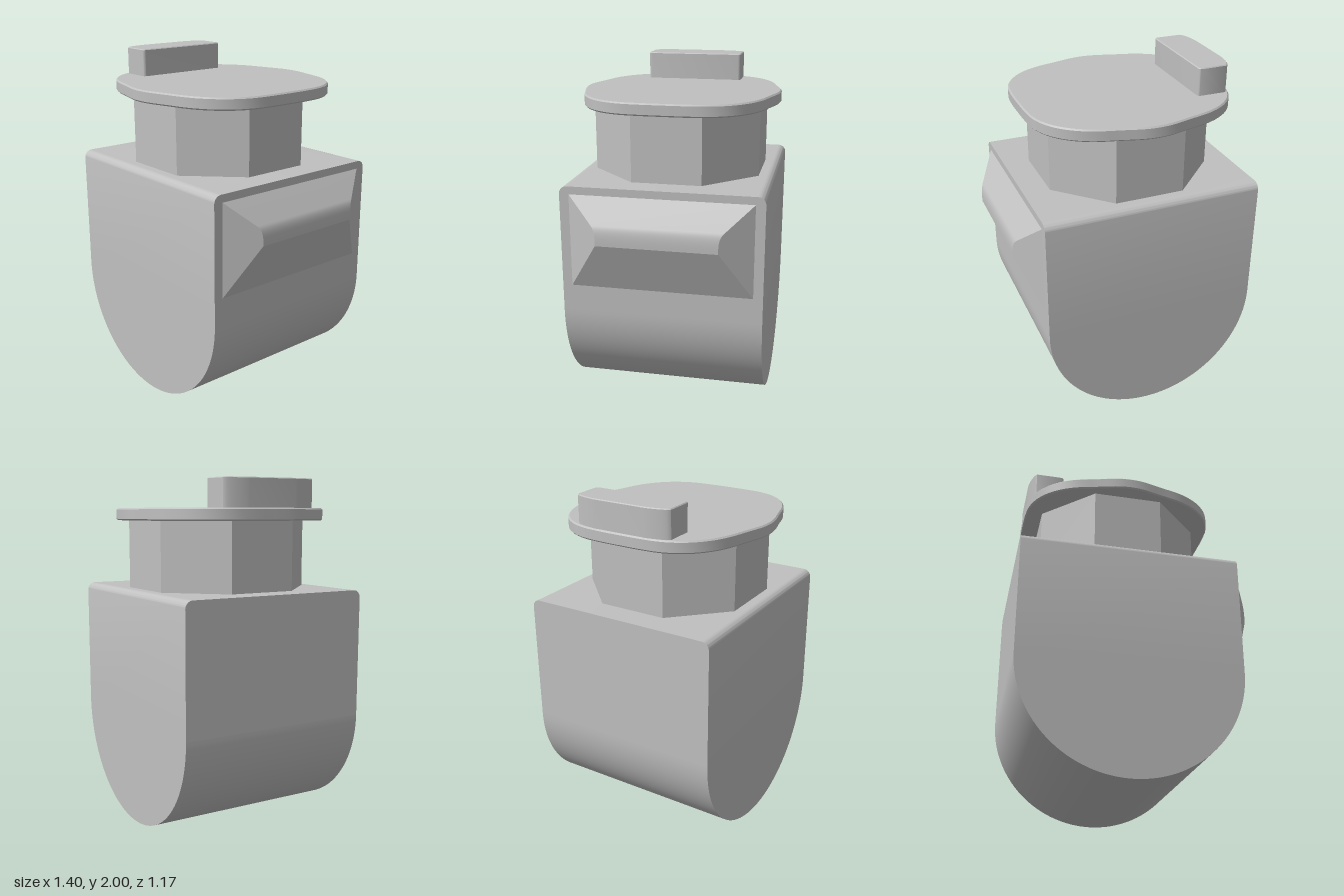
import * as THREE from 'three';
import { toCreasedNormals } from 'three/addons/utils/BufferGeometryUtils.js';

const CX = -0.0625; // axis of body, neck and lid

export function createModel() {
  const group = new THREE.Group();
  const grey = new THREE.MeshStandardMaterial({ color: 0xc0c0c0 });
  grey.name = 'plain grey';

  const add = (name, geometry, crease = 0.35) => {
    const mesh = new THREE.Mesh(toCreasedNormals(geometry, crease), grey);
    mesh.name = name;
    group.add(mesh);
    return mesh;
  };
  const extrude = (shape, depth, curveSegments = 16) =>
    new THREE.ExtrudeGeometry(shape, { depth, curveSegments, bevelEnabled: false });
  // Horizontal plate from a plan drawn as (x, z), with small bevels
  const plate = (plan, y0, y1, bevel) =>
    new THREE.ExtrudeGeometry(plan, {
      depth: y1 - y0 - 2 * bevel, curveSegments: 14, bevelSize: bevel,
      bevelThickness: bevel, bevelOffset: -bevel, bevelSegments: 1,
    }).rotateX(-Math.PI / 2).translate(0, y0 + bevel, 0);

  // Half-round lower body
  const R = 0.6375, D = 0.575, TOP = 1.375;
  const half = new THREE.Shape();
  half.moveTo(-R, R);
  half.absarc(0, R, R, Math.PI, 2 * Math.PI, false);
  add('lowerBody', extrude(half, 2 * D, 48).translate(CX, 0, -D));

  // Upper body with rounded front and back top edges
  const r = 0.045;
  const upper = new THREE.Shape();
  upper.moveTo(-D, R);
  upper.lineTo(D, R);
  upper.lineTo(D, TOP - r);
  upper.absarc(D - r, TOP - r, r, 0, Math.PI / 2, false);
  upper.absarc(-D + r, TOP - r, r, Math.PI / 2, Math.PI, false);
  upper.closePath();
  add('upperBody', extrude(upper, 2 * R, 8).rotateY(Math.PI / 2).translate(CX - R, 0, 0));

  // Side wedge: extruded profile whose ends taper in with distance from the body
  const profile = new THREE.Shape();
  profile.moveTo(0.575, 0.79);
  profile.lineTo(0.695, 1.08);
  profile.bezierCurveTo(0.696, 1.13, 0.694, 1.172, 0.675, 1.195);
  profile.lineTo(0.575, 1.33);
  profile.closePath();
  const wedge = extrude(profile, 1, 10);
  const p = wedge.attributes.position;
  for (let i = 0; i < p.count; i++) {
    const side = p.getZ(i) > 0.5 ? 1 : -1;
    p.setZ(i, side * (0.52 - (p.getX(i) - 0.575) * 1.5));
  }
  add('sideWedge', wedge);

  // Octagonal neck
  add('neck', new THREE.CylinderGeometry(0.525, 0.525, 0.4, 8, 1, false, Math.PI / 8)
    .translate(CX, 1.572, 0), 0.2);

  // Lid: softly squared outline, mirrored from one quarter
  const quarter = new THREE.CurvePath();
  const v = (x, y) => new THREE.Vector2(x, y);
  quarter.add(new THREE.CubicBezierCurve(v(0.588, 0), v(0.588, 0.06), v(0.588, 0.11), v(0.584, 0.16)));
  quarter.add(new THREE.CubicBezierCurve(v(0.584, 0.16), v(0.58, 0.36), v(0.44, 0.488), v(0.25, 0.53)));
  quarter.add(new THREE.CubicBezierCurve(v(0.25, 0.53), v(0.14, 0.556), v(0.09, 0.583), v(0, 0.583)));
  const q = quarter.getPoints(12);
  const back = [...q].reverse().slice(1);
  const outline = [
    ...q,
    ...back.map((a) => v(-a.x, a.y)),
    ...q.slice(1).map((a) => v(-a.x, -a.y)),
    ...back.slice(0, -1).map((a) => v(a.x, -a.y)),
  ];
  add('lid', plate(new THREE.Shape(outline), 1.77, 1.84, 0.008).translate(CX, 0, 0));

  // Grip on the lid, its outer side following the lid edge
  const grip = new THREE.Shape();
  grip.moveTo(-0.45, -0.293);
  grip.quadraticCurveTo(-0.43, -0.293, -0.43, -0.273);
  grip.lineTo(-0.43, 0.273);
  grip.quadraticCurveTo(-0.43, 0.293, -0.45, 0.293);
  grip.lineTo(-0.595, 0.293);
  grip.bezierCurveTo(-0.615, 0.293, -0.637, 0.21, -0.64, 0.15);
  grip.lineTo(-0.64, -0.15);
  grip.bezierCurveTo(-0.637, -0.21, -0.615, -0.293, -0.595, -0.293);
  grip.closePath();
  add('grip', plate(grip, 1.83, 2, 0.005));

  return group;
}
